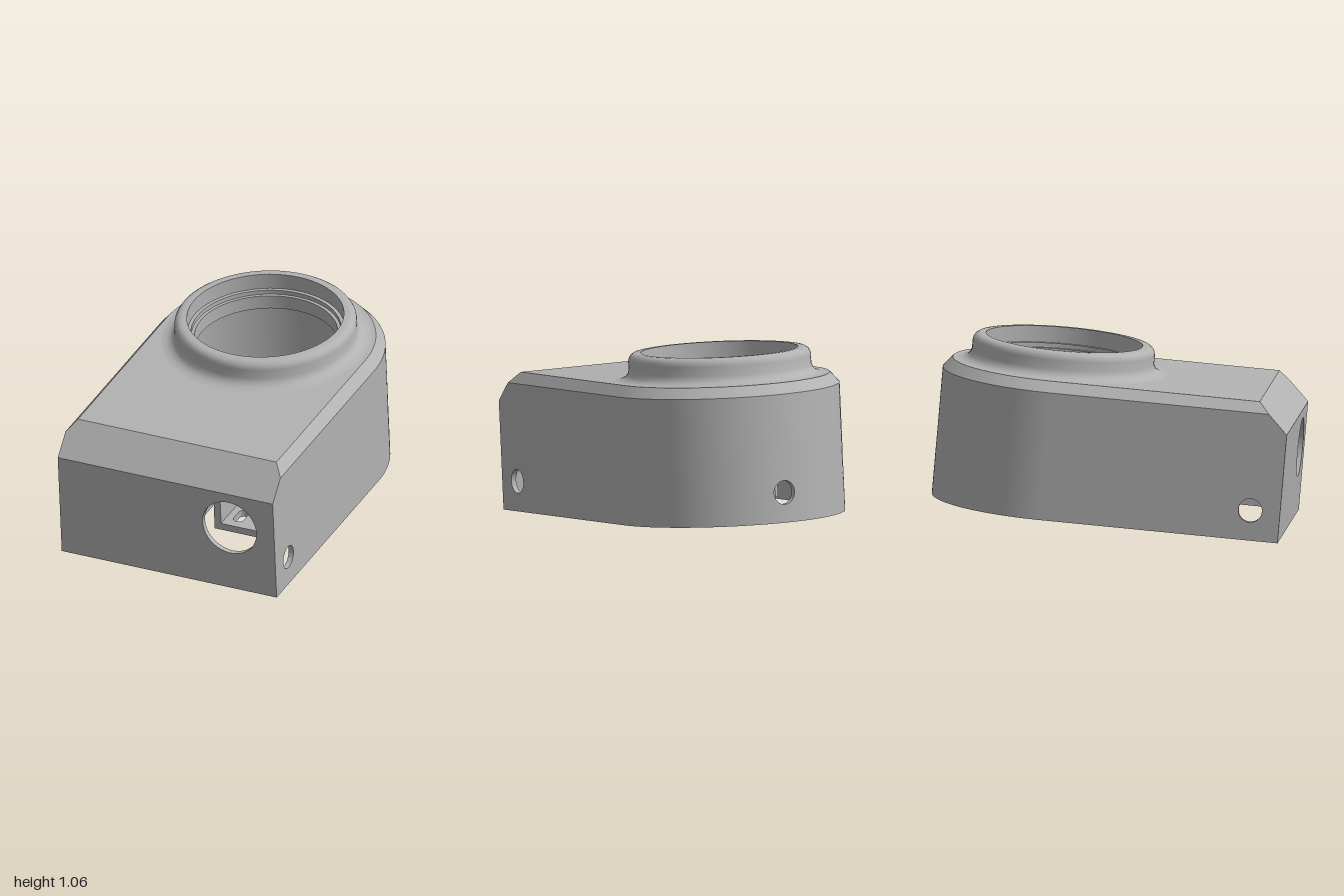
import * as THREE from 'three';
import { toCreasedNormals } from 'three/addons/utils/BufferGeometryUtils.js';

const R = 0.65, T = 0.03, ZC = -1.31;           // outer radius, wall, centre of round end
const WALL = 0.705, TOP = 0.763, FRONT = 0.6;   // heights of wall, deck and front face

const grey = new THREE.MeshStandardMaterial({ color: 0xb2b2b2, side: THREE.DoubleSide });
grey.name = 'grey plastic';

function add(parent, name, geometry) {
  const mesh = new THREE.Mesh(geometry, grey);
  mesh.name = name;
  parent.add(mesh);
  return mesh;
}

function polygon(points) {
  return new THREE.Shape(points.map(([x, y]) => new THREE.Vector2(x, y)));
}

function circleHole(shape, x, y, r) {
  shape.holes.push(new THREE.Path().absarc(x, y, r, 0, Math.PI * 2, true));
  return shape;
}

function extrude(shape, depth) {
  return new THREE.ExtrudeGeometry(shape, { depth, bevelEnabled: false, curveSegments: 32 });
}

// Horizontal plate; the shape is drawn in x and -z
function slab(shape, y0, y1) {
  return toCreasedNormals(extrude(shape, y1 - y0).rotateX(-Math.PI / 2).translate(0, y0, 0), 0.5);
}

// Upright plate facing sideways; the shape is drawn in -z and y
function upright(shape, x0, x1) {
  return extrude(shape, x1 - x0).rotateY(Math.PI / 2).translate(x0, 0, 0);
}

function roundRect(x0, x1, y0, y1, r, Kind = THREE.Shape) {
  const s = new Kind();
  s.absarc(x1 - r, y0 + r, r, -Math.PI / 2, 0);
  s.absarc(x1 - r, y1 - r, r, 0, Math.PI / 2);
  s.absarc(x0 + r, y1 - r, r, Math.PI / 2, Math.PI);
  s.absarc(x0 + r, y0 + r, r, Math.PI, Math.PI * 1.5);
  s.closePath();
  return s;
}

// Surface through rows of points
function loft(rows) {
  const n = rows[0].length, index = [];
  for (let j = 0; j < rows.length - 1; j++) {
    for (let i = 0; i < n - 1; i++) {
      const a = j * n + i, b = a + 1, c = a + n, d = c + 1;
      index.push(a, b, c, b, d, c);
    }
  }
  const g = new THREE.BufferGeometry();
  g.setAttribute('position', new THREE.Float32BufferAttribute(rows.flat(2), 3));
  g.setIndex(index);
  g.computeVertexNormals();
  return g;
}

// Straight sides plus a half circle at the back
function outline(r, y, zFront) {
  const pts = [[r, y, zFront]];
  for (let i = 0; i <= 48; i++) {
    const a = Math.PI * i / 48;
    pts.push([r * Math.cos(a), y, ZC - r * Math.sin(a)]);
  }
  pts.push([-r, y, zFront]);
  return pts;
}

// Bends a flat panel around the round end
function bend(g) {
  const p = g.attributes.position, n = g.attributes.normal;
  for (let i = 0; i < p.count; i++) {
    const a = p.getX(i) / R, r = R - T + p.getZ(i), c = Math.cos(a), s = Math.sin(a);
    p.setXYZ(i, -r * s, p.getY(i), ZC - r * c);
    const nx = n.getX(i), nz = n.getZ(i);
    n.setXYZ(i, -(nx * c + nz * s), n.getY(i), nx * s - nz * c);
  }
  return g;
}

function buildHousing(body) {
  const cutLow = -(WALL - FRONT) * 1.025, cutHigh = -(TOP - FRONT) * 1.025;

  // Front wall with the large cable hole
  const front = circleHole(polygon([[-R, 0], [R, 0], [R, FRONT], [-R, FRONT]]), 0.38, 0.386, 0.162);
  add(body, 'frontWall', extrude(front, T).translate(0, 0, -T));

  // Side walls with screw holes
  for (const [name, x] of [['leftWall', R - T], ['rightWall', -R]]) {
    const side = polygon([[0, 0], [-ZC, 0], [-ZC, WALL], [-cutLow, WALL], [0, FRONT]]);
    add(body, name, upright(circleHole(side, 0.165, 0.166, 0.065), x, x + T));
  }

  // Round back wall in narrow columns, the middle one with a screw hole
  const half = R * Math.PI / 2, mid = 0.09, columns = 18, step = (half - mid) / columns;
  const column = (u0, u1, hole) => {
    const pts = [];
    for (let i = 0; i <= 4; i++) pts.push([u0 + (u1 - u0) * i / 4, 0]);
    for (let i = 4; i >= 0; i--) pts.push([u0 + (u1 - u0) * i / 4, WALL]);
    const s = polygon(pts);
    if (hole) circleHole(s, 0, 0.166, 0.065);
    add(body, 'backWall', bend(extrude(s, T)));
  };
  column(-mid, mid, true);
  for (let i = 0; i < columns; i++) {
    const u = mid + i * step;
    column(u, u + step);
    column(-u - step, -u);
  }

  // Chamfers around the deck and above the front wall
  add(body, 'edgeChamfer', loft([outline(R, WALL, cutLow), outline(R - 0.05, TOP, cutHigh)]));
  add(body, 'frontChamfer', loft([
    [[-R, FRONT, 0], [R, FRONT, 0]],
    [[-R, WALL, cutLow], [R, WALL, cutLow]],
    [[-R + 0.05, TOP, cutHigh], [R - 0.05, TOP, cutHigh]],
  ]));

  // Deck with the round opening
  const deck = polygon(outline(R - 0.05, 0, cutHigh).map(([x, , z]) => [x, -z]));
  add(body, 'deck', slab(circleHole(deck, 0, -ZC, 0.47), TOP - 0.03, TOP));

  // Collar with a filleted foot, rounded rim and stepped bore
  const profile = [
    [0.575, 0.763], [0.55, 0.766], [0.525, 0.776], [0.509, 0.792], [0.5, 0.815], [0.5, 0.865],
    [0.497, 0.882], [0.488, 0.897], [0.474, 0.907], [0.457, 0.91], [0.43, 0.91],
    [0.43, 0.82], [0.41, 0.82], [0.41, 0.795], [0.392, 0.795], [0.392, 0.715], [0.48, 0.715], [0.48, 0.735],
  ].map(([r, y]) => new THREE.Vector2(r, y));
  add(body, 'collar', toCreasedNormals(new THREE.LatheGeometry(profile, 96), 0.6)).position.z = ZC;
}

function buildMotor(body) {
  const motor = new THREE.Group();
  motor.name = 'motor';
  motor.position.set(-0.23, 0, -0.95);
  body.add(motor);

  // Body in three stacked blocks with cut corners
  const block = (name, h, c, y0, y1) => add(motor, name, slab(polygon([
    [-h + c, -h], [h - c, -h], [h, -h + c], [h, h - c], [h - c, h], [-h + c, h], [-h, h - c], [-h, -h + c],
  ]), y0, y1));
  block('motorBase', 0.21, 0.04, 0.05, 0.16);
  block('motorCore', 0.205, 0.06, 0.16, 0.31);
  block('motorCap', 0.21, 0.04, 0.32, 0.42);
  block('motorSeam', 0.195, 0.06, 0.31, 0.32);

  // Mounting plate, boss and screws
  add(motor, 'motorPlate', slab(roundRect(-0.28, 0.28, -0.27, 0.27, 0.035), 0.42, 0.46));
  const ring = new THREE.Shape().absarc(0, 0, 0.12, 0, Math.PI * 2);
  add(motor, 'motorBoss', slab(circleHole(ring, 0, 0, 0.085), 0.46, 0.48));
  for (const x of [-0.16, 0.16]) {
    for (const z of [-0.165, 0.165]) {
      add(motor, 'screw', new THREE.CylinderGeometry(0.035, 0.035, 0.015, 24)).position.set(x, 0.467, z);
      add(motor, 'screwHead', new THREE.CylinderGeometry(0.018, 0.018, 0.02, 6)).position.set(x, 0.478, z);
    }
  }
}

function buildBracket(body) {
  // Side rail rising to the motor plate
  const rail = polygon([
    [0.13, 0.18], [0.7, 0.18], [1.22, 0.42], [1.22, 0.46], [1.14, 0.46], [0.68, 0.23], [0.13, 0.23],
  ]);
  add(body, 'bracketRail', upright(rail, 0.0, 0.05));

  // Slotted shelf beside the rail
  const shelf = roundRect(0.2, 0.62, 0.2, 0.78, 0.03);
  for (let i = 0; i < 3; i++) {
    const u = 0.25 + i * 0.17;
    shelf.holes.push(roundRect(0.27, 0.33, u, u + 0.12, 0.028, THREE.Path));
  }
  add(body, 'slottedShelf', slab(shelf, 0.225, 0.265));

  // Web standing on the shelf and a cross tie to the rail
  add(body, 'shelfWeb', upright(polygon([[0.2, 0.225], [0.78, 0.225], [0.78, 0.44], [0.2, 0.44]]), 0.19, 0.23));
  add(body, 'crossTie', slab(roundRect(0.03, 0.21, 0.62, 0.78, 0.01), 0.225, 0.265));
}

export function createModel() {
  const model = new THREE.Group();
  model.name = 'sensorHousing';
  const body = new THREE.Group();
  body.name = 'tiltedHousing';
  body.position.z = 0.95;
  body.rotation.x = THREE.MathUtils.degToRad(4.9);
  model.add(body);
  buildHousing(body);
  buildMotor(body);
  buildBracket(body);
  return model;
}
